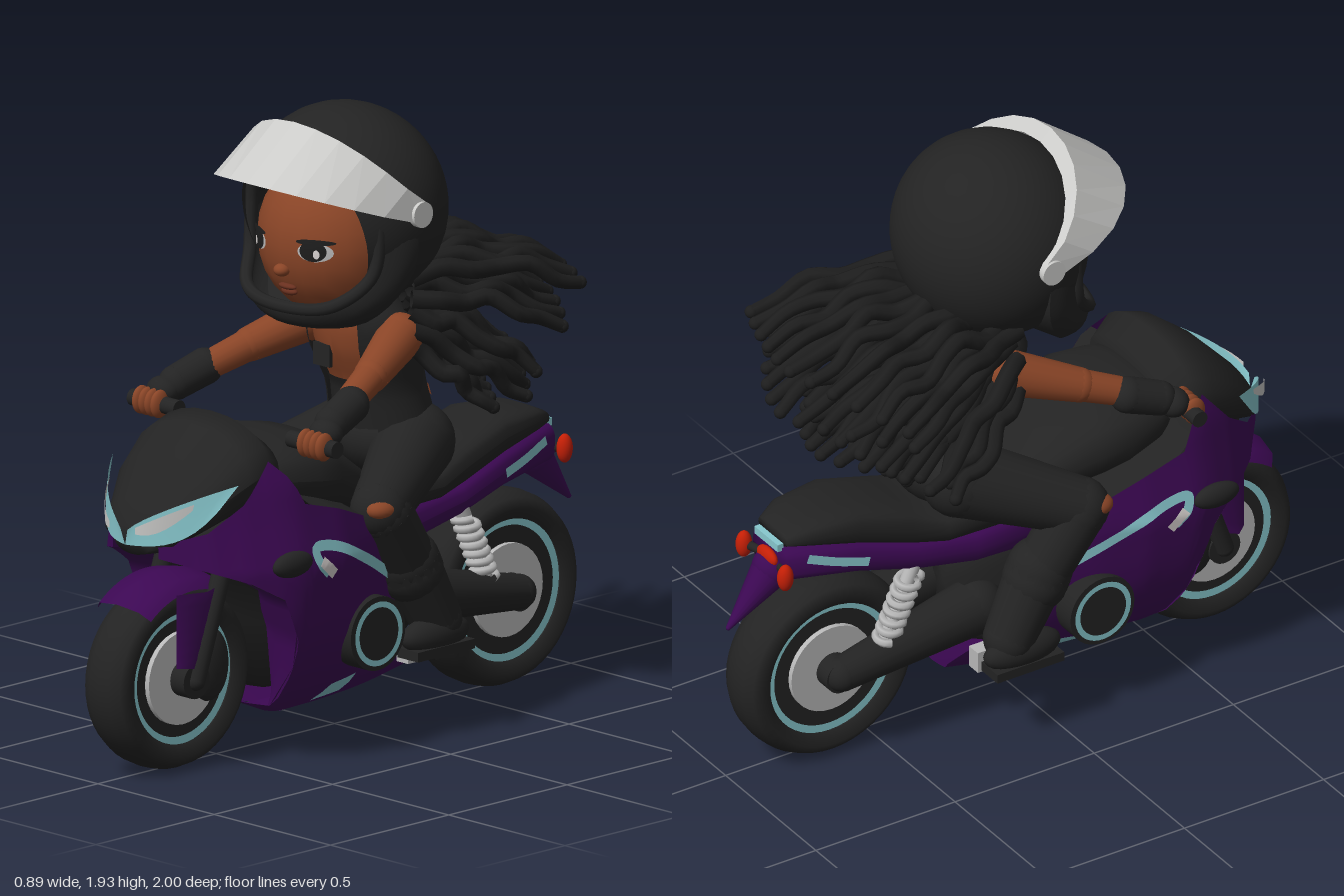
import * as THREE from 'three';
import { mergeGeometries } from 'three/addons/utils/BufferGeometryUtils.js';

const V = (x, y, z) => new THREE.Vector3(x, y, z);
const mat = (name, color) => Object.assign(new THREE.MeshStandardMaterial({ color, side: THREE.DoubleSide }), { name });

// piecewise linear table: rows sorted by first column (either direction)
function lut(t, x, k = 1) {
  const d = Math.sign(t[t.length - 1][0] - t[0][0]);
  let i = 0;
  while (i < t.length - 2 && (x - t[i + 1][0]) * d > 0) i++;
  const f = THREE.MathUtils.clamp((x - t[i][0]) / (t[i + 1][0] - t[i][0]), 0, 1);
  return t[i][k] + (t[i + 1][k] - t[i][k]) * f;
}
// surface from f(u, v) -> [x, y, z]
function grid(nu, nv, f) {
  const pos = [], idx = [];
  for (let i = 0; i <= nu; i++) for (let j = 0; j <= nv; j++) {
    pos.push(...f(i / nu, j / nv));
    if (i < nu && j < nv) {
      const a = i * (nv + 1) + j, b = a + nv + 1;
      idx.push(a, b, b + 1, a, b + 1, a + 1);
    }
  }
  const g = new THREE.BufferGeometry();
  g.setAttribute('position', new THREE.Float32BufferAttribute(pos, 3));
  g.setIndex(idx);
  g.computeVertexNormals();
  return g;
}
// body along z from rows [z, bottom, top, halfWidth], front to back, ends closed
function loft(rows, p = 0.65) {
  const a = rows[0], b = rows[rows.length - 1], mid = (r) => [r[0], (r[1] + r[2]) / 2, (r[1] + r[2]) / 2, 0];
  const all = [mid(a), ...rows, mid(b)], n = all.length - 1;
  const pw = (v) => Math.sign(v) * Math.abs(v) ** p;
  return grid(n, 24, (u, v) => {
    const [z, y0, y1, w] = all[Math.round(u * n)], t = v * Math.PI * 2;
    return [w * pw(Math.cos(t)), (y0 + y1) / 2 + (y1 - y0) / 2 * pw(Math.sin(t)), z];
  });
}
const ball = (x, y, z, rx, ry = rx, rz = rx) => new THREE.SphereGeometry(1, 20, 14).scale(rx, ry, rz).translate(x, y, z);
// rounded tapered limb between two points
function limb(a, b, ra, rb = ra) {
  const d = b.clone().sub(a), q = new THREE.Quaternion().setFromUnitVectors(V(0, 1, 0), d.clone().normalize());
  const c = new THREE.CylinderGeometry(rb, ra, d.length(), 16).applyQuaternion(q).translate(...a.clone().lerp(b, 0.5).toArray());
  return mergeGeometries([c, ball(...a.toArray(), ra), ball(...b.toArray(), rb)]);
}
// cylinder with its axis along x
const drum = (r, w, x, y, z) => new THREE.CylinderGeometry(r, r, w, 32).rotateZ(Math.PI / 2).translate(x, y, z);
const lathe = (pts, ...a) => new THREE.LatheGeometry(pts.map((p) => new THREE.Vector2(...p)), ...a).rotateZ(-Math.PI / 2);

// fairing: half width by height, and outline rows [z, bottom, top, taper]
const WIDTH = [[.12, .07], [.2, .2], [.3, .28], [.4, .33], [.5, .35], [.65, .365], [.8, .33], [.9, .31], [1, .27]];
const SIDE = [[.84, .7, .74, .28], [.74, .66, .78, .62], [.64, .62, .86, .82], [.54, .56, .98, .95], [.48, .42, .92, 1],
  [.44, .18, .84, 1], [.3, .12, .8, .98], [.15, .12, .74, .87], [0, .13, .62, .72], [-.08, .14, .34, .62], [-.26, .18, .2, .45]];
const surf = (z, y) => lut(WIDTH, y) * lut(SIDE, z, 3);
// painted stripe through [z, y] points, lying on x = f(z, y)
function ribbon(pts, w, f) {
  const c = new THREE.CatmullRomCurve3(pts.map(([z, y]) => V(0, y, z)), false, 'centripetal');
  return grid(28, 2, (u, v) => {
    const p = c.getPoint(u), t = c.getTangent(u), s = (v * 2 - 1) * w;
    const y = p.y - t.z * s, z = p.z + t.y * s;
    return [f(z, y), y, z];
  });
}
// tube narrowing towards a rounded tip
function lock(pts, r) {
  const c = new THREE.CatmullRomCurve3(pts), g = new THREE.TubeGeometry(c, 20, r, 7), p = g.attributes.position, q = V(0, 0, 0);
  for (let k = 0; k < p.count; k++) {
    const t = Math.floor(k / 8) / 20;
    q.fromBufferAttribute(p, k).lerp(c.getPointAt(t), .3 * t * t);
    p.setXYZ(k, q.x, q.y, q.z);
  }
  return mergeGeometries([g, ball(...pts[pts.length - 1].toArray(), r * .7)]);
}

export function createModel() {
  const root = new THREE.Group();
  root.name = 'riderOnMotorcycle';
  const black = mat('matteBlack', 0x232323), hairM = mat('hairBlack', 0x1d1d1d), purple = mat('purplePaint', 0x3c0853),
    teal = mat('tealTrim', 0x88c8ce), silver = mat('silver', 0xb8b8b8), visorM = mat('visorGrey', 0xcacac8),
    skin = mat('skin', 0x8a4527), lipM = mat('lip', 0x69301f), red = mat('redLamp', 0xc41f06), white = mat('white', 0xdcd6d4);
  const add = (name, g, m) => {
    const o = new THREE.Mesh(g, m);
    o.name = name;
    root.add(o);
  };
  // part and its mirror image
  const pair = (name, g, m) => {
    const h = g.clone().scale(-1, 1, 1), ix = Array.from(g.index.array);
    for (let i = 0; i < ix.length; i += 3) [ix[i], ix[i + 1]] = [ix[i + 1], ix[i]];
    h.setIndex(ix);
    add(name + 'Left', g, m);
    add(name + 'Right', h, m);
  };

  // wheels
  for (const [n, y, z, r] of [['front', .3, .71, .29], ['rear', .315, -.665, .305]]) {
    const tyre = [[r - .085, -.07], [r - .05, -.095], [r - .02, -.075], [r - .004, -.04], [r, 0],
      [r - .004, .04], [r - .02, .075], [r - .05, .095], [r - .085, .07]];
    add(n + 'Tyre', lathe(tyre, 48).translate(0, y, z), black);
    add(n + 'Rim', drum(r - .075, .11, 0, y, z), black);
    pair(n + 'RimStripe', new THREE.RingGeometry(r - .106, r - .08, 48).rotateY(Math.PI / 2).translate(.06, y, z), teal);
    pair(n + 'BrakeDisc', drum(.145, .02, .062, y, z), silver);
    pair(n + 'Hub', drum(.055, .08, .09, y, z), black);
  }
  // front fork, caliper and mudguard
  pair('fork', limb(V(.125, .3, .71), V(.125, .82, .53), .03), black);
  pair('caliper', ball(.09, .33, .62, .04, .115, .075), black);
  add('frontMudguard', lathe([[.28, -.115], [.315, -.085], [.33, 0], [.315, .085], [.28, .115]], 16, -1.98, 1.1).translate(0, .3, .71), purple);
  pair('forkGuard', grid(6, 2, (u, v) => [.12 + .035 * Math.sin(v * Math.PI), .35 + u * .23, .785 - v * (.08 + u * .11)]), purple);

  // fairing sides, inward front faces, top and bottom covers, and the dark core
  pair('fairing', grid(44, 14, (u, v) => {
    const z = .84 - u * 1.1, y = THREE.MathUtils.lerp(lut(SIDE, z, 1), lut(SIDE, z, 2), v);
    return [surf(z, y), y, z];
  }), purple);
  pair('fairingFront', grid(14, 3, (u, v) => {
    const y = .18 + u * .48, z = lut([[.18, .44], [.42, .48], [.56, .54], [.62, .64], [.66, .74]], y);
    return [THREE.MathUtils.lerp(surf(z, y), .13 + .03 * u, v), y, z - .05 * v * v];
  }), purple);
  pair('fairingTopCover', grid(20, 2, (u, v) => {
    const z = .5 - u * .52, y = lut(SIDE, z, 2);
    return [THREE.MathUtils.lerp(surf(z, y), .1, v), y + .04 * v, z];
  }), black);
  add('bellyPan', grid(20, 4, (u, v) => {
    const z = .44 - u * .7, y = lut(SIDE, z, 1);
    return [surf(z, y) * (2 * v - 1), y - .012 * Math.sin(Math.PI * v), z];
  }), purple);
  add('engineCore', loft([[.78, .7, .74, .1], [.6, .66, .82, .2], [.42, .42, .82, .26], [.37, .2, .8, .17], [0, .17, .68, .17], [-.22, .26, .62, .12]]), black);
  pair('engineCover', drum(.115, .08, .29, .38, .14), black);
  pair('engineCoverRing', new THREE.RingGeometry(.082, .1, 40).rotateY(Math.PI / 2).translate(.334, .38, .14), teal);
  pair('fairingStripe', ribbon([[.38, .62], [.42, .66], [.43, .705], [.35, .7], [.2, .63], [.04, .54]], .016, (z, y) => surf(z, y) + .008), teal);
  pair('fairingMark', ribbon([[.415, .665], [.36, .615]], .017, (z, y) => surf(z, y) + .012), white);
  pair('bellyPatch', ribbon([[.205, .175], [.085, .185]], .036, (z, y) => surf(z, y) + .008), teal);
  pair('sideIndicator', ball(.36, .675, .53, .03, .04, .08), black);

  // nose hood and headlamps
  add('noseHood', loft([[.855, .7, .79, .08], [.81, .7, .86, .15], [.7, .74, .98, .22], [.6, .77, 1.06, .25], [.52, .8, 1.085, .255], [.45, .82, 1.03, .22]], .95), black);
  pair('headlamp', grid(10, 1, (u, v) => v
    ? [.015 + u * .255, .785 + .145 * u ** .85, .89 - .07 * u - .15 * u * u]
    : [u * .24, .735 + .01 * u + .11 * u ** 4, .885 - .03 * u - .13 * u * u]), teal);
  pair('headlampLens', grid(8, 1, (u, v) => [.055 + u * .15, .8 + .085 * u - (1 - v) * .046 * Math.sin(Math.PI * (.15 + .85 * u)), .897 - .065 * u - .085 * u * u]), visorM);

  // tank, seat and tail
  add('fuelTank', loft([[.52, .84, .97, .19], [.42, .78, .99, .23], [.3, .74, 1, .25], [.2, .73, .98, .24], [.08, .7, .9, .19], [-.08, .68, .78, .14]], .8), black);
  add('tail', loft([[.12, .56, .74, .2], [-.2, .56, .7, .17], [-.4, .6, .72, .16], [-.6, .65, .78, .14], [-.84, .68, .81, .095]]), purple);
  add('seat', loft([[.02, .66, .78, .17], [-.3, .67, .78, .17], [-.42, .69, .83, .15], [-.6, .75, .885, .14], [-.76, .79, .875, .115], [-.83, .8, .845, .08]]), black);
  pair('tailStripe', ribbon([[-.58, .71], [-.68, .735], [-.78, .77]], .015, (z) => .15 + (z + .58) * .16), teal);
  add('tailTrim', new THREE.BoxGeometry(.13, .025, .02).translate(0, .805, -.845), teal);
  add('tailFin', limb(V(0, .7, -.83), V(0, .535, -.99), .065, .008), purple);
  add('tailLamp', ball(0, .745, -.85, .05, .03, .02), red);
  pair('rearIndicatorStalk', limb(V(.06, .73, -.84), V(.11, .73, -.855), .014), black);
  pair('rearIndicator', ball(.115, .73, -.86, .024, .045, .026), red);

  // swingarm, springs, pegs and handlebar
  pair('swingarm', limb(V(.12, .4, -.18), V(.12, .32, -.66), .09, .055), black);
  const spring = [];
  for (let i = 0; i <= 72; i++) {
    const t = i / 72, a = t * Math.PI * 14;
    spring.push(V(.13 + .034 * Math.cos(a), .6 - .2 * t, -.42 - .09 * t + .034 * Math.sin(a)));
  }
  pair('spring', new THREE.TubeGeometry(new THREE.CatmullRomCurve3(spring), 140, .013, 6), silver);
  pair('damper', limb(V(.13, .63, -.41), V(.13, .38, -.52), .023), silver);
  pair('footPegBracket', new THREE.BoxGeometry(.05, .07, .1).translate(.17, .245, -.17), silver);
  pair('footPeg', drum(.018, .18, .22, .262, -.13), black);
  pair('handlebar', drum(.026, .2, .34, 1.025, .42), black);

  // legs and boots
  add('hips', ball(0, .88, -.22, .2, .13, .16), black);
  pair('thigh', limb(V(.11, .87, -.23), V(.285, .75, .09), .125, .09), black);
  pair('kneePatch', ball(.325, .765, .12, .046, .034, .055), skin);
  pair('shin', limb(V(.285, .735, .075), V(.27, .52, -.07), .092, .088), black);
  pair('bootShaft', limb(V(.265, .54, -.06), V(.275, .36, -.16), .095, .08), black);
  pair('bootCuff', limb(V(.265, .56, -.045), V(.266, .53, -.06), .102), black);
  pair('bootFoot', ball(.3, .325, -.13, .055, .058, .135), black);
  pair('bootSole', new THREE.BoxGeometry(.09, .03, .24).translate(.305, .28, -.13), black);

  // torso with an open vest: rows [height, z centre, half width, half depth]
  const TORSO = [[1.4, -.07, .06, .06], [1.33, -.09, .12, .09], [1.28, -.1, .17, .12], [1.18, -.125, .165, .135], [1.05, -.175, .145, .12], [.9, -.21, .16, .13]];
  const torso = (top, low, gap, off) => grid(12, 30, (u, v) => {
    const y = top + (low - top) * u, a = gap + v * (Math.PI * 2 - gap * 2);
    return [(lut(TORSO, y, 2) + off) * Math.sin(a), y, lut(TORSO, y) + (lut(TORSO, y, 3) + off) * Math.cos(a)];
  });
  add('torso', torso(1.4, .9, 0, 0), skin);
  add('vest', torso(1.34, .92, .62, .02), black);
  add('lowerBack', torso(1.035, 1.0, 2.45, .025), skin);
  add('chestTop', torso(1.08, .92, 0, .006), black);
  add('chestPatch', new THREE.BoxGeometry(.07, .07, .012).translate(-.045, 1.155, .005), black);

  // arms
  pair('upperArm', limb(V(.18, 1.235, -.1), V(.26, 1.165, .1), .072, .054), skin);
  pair('forearm', limb(V(.26, 1.165, .1), V(.34, 1.07, .36), .05, .04), skin);
  pair('cuff', limb(V(.315, 1.11, .24), V(.335, 1.075, .34), .057, .054), black);
  pair('glove', ball(.35, 1.055, .38, .055, .045, .05), black);
  for (let k = 0; k < 4; k++) pair('finger', ball(.315 + k * .026, 1.028, .43, .018, .044, .036), skin);

  // head and face
  const faceZ = (x, y) => .23 * Math.sqrt(Math.max(0, 1 - (x / .24) ** 2 - ((y - 1.54) / .25) ** 2));
  const decal = (x, y, rx, ry, off) => grid(3, 20, (u, v) => {
    const px = x + rx * u * Math.cos(v * Math.PI * 2), py = y + ry * u * Math.sin(v * Math.PI * 2);
    return [px, py, faceZ(px, py) + off];
  });
  add('neck', limb(V(0, 1.3, -.08), V(0, 1.42, -.04), .07), skin);
  add('head', ball(0, 1.54, 0, .24, .25, .23), skin);
  add('hairline', new THREE.SphereGeometry(1, 28, 8, 0, Math.PI * 2, 0, .9).scale(.247, .257, .237).translate(0, 1.54, 0), hairM);
  pair('eyeWhite', decal(.118, 1.54, .05, .03, .003), silver);
  pair('iris', decal(.115, 1.543, .038, .032, .006), hairM);
  pair('eyeGlint', decal(.128, 1.535, .009, .014, .009), white);
  pair('upperLash', decal(.12, 1.571, .055, .009, .008), hairM);
  add('nose', ball(0, 1.468, .222, .026, .02, .026), skin);
  add('lips', mergeGeometries([ball(0, 1.413, .198, .036, .01, .015), ball(0, 1.396, .19, .032, .012, .016)]), lipM);

  // helmet with chin guard and raised visor
  add('helmetShell', new THREE.SphereGeometry(1, 40, 28, 0, Math.PI * 2, .95, Math.PI - .95)
    .rotateX(Math.PI / 2 + .25).scale(.325, .315, .3).translate(0, 1.625, -.045), black);
  const arch = (half) => new THREE.CatmullRomCurve3([...half.map(([x, y, z]) => V(-x, y, z)), ...half.slice(0, -1).reverse().map((p) => V(...p))]);
  const rim = arch([[.262, 1.7, .085], [.275, 1.6, .08], [.262, 1.47, .1], [.18, 1.38, .19], [0, 1.36, .235]]);
  const hem = arch([[.3, 1.68, -.03], [.32, 1.6, -.04], [.305, 1.46, -.03], [.21, 1.315, .07], [0, 1.285, .165]]);
  add('chinGuard', grid(40, 6, (u, v) => {
    const p = rim.getPoint(u).lerp(hem.getPoint(u), v), k = 1 + .1 * Math.sin(Math.PI * v) * Math.sin(Math.PI * u);
    return [p.x * k, p.y - .015 * Math.sin(Math.PI * v) * Math.sin(Math.PI * u), p.z * k];
  }), black);
  add('chinGuardFloor', grid(40, 3, (u, v) => hem.getPoint(u).lerp(V(0, 1.36, -.08), v * .75).toArray()), black);
  add('openingRim', new THREE.TubeGeometry(rim, 48, .02, 8), black);
  const visor = grid(2, 12, (u, v) => {
    const a = (v - .5) * Math.PI, c = Math.max(0, Math.cos(a)), s = Math.sin(a);
    if (u === 0) return [.315 * s, 1.685 + .2 * c ** 1.1, -.07 + .2 * c ** .9];
    return u === 1 ? [.338 * s, 1.625 + .14 * c ** .8, -.04 + .41 * c ** .75] : [.335 * s, 1.69 + .23 * c ** 1.1, -.06 + .23 * c ** .9];
  }).toNonIndexed();
  visor.computeVertexNormals();
  add('visor', visor, visorM);
  pair('visorHinge', drum(.04, .03, .328, 1.655, -.04), visorM);

  // swept-back dreadlocks in layered fans
  const locks = [];
  for (let j = 0; j < 5; j++) for (let i = 0; i < 11; i++) {
    const u = (i - 5 + (j % 2) * .4 - .2) / 5.2, n = Math.sin(i * 12.9 + j * 78.2), m = Math.cos(i * 37.7 + j * 11.3);
    const a = V(u * .23, 1.46 - j * .05 - u * u * .05, -.2 + .1 * u * u);
    const e = V(u * (.43 - .02 * j) + n * .03, 1.31 - j * .075 + m * .055 - .03 * u * u, -.82 + .2 * Math.abs(u) ** 1.5 + j * .065 + n * .06);
    const pts = [a];
    for (let k = 1; k < 6; k++) {
      const t = k / 6, p = a.clone().lerp(e, t);
      p.x += .016 * Math.sin(k * 2 + i * 3 + j) + u * .02 * Math.sin(Math.PI * t);
      p.y += .05 * Math.sin(Math.PI * t) * (1 - j * .3) + .018 * Math.cos(k * 2.3 + i + j * 2);
      pts.push(p);
    }
    locks.push(lock([...pts, e], .029));
  }
  add('dreadlocks', mergeGeometries(locks), hairM);
  return root;
}
